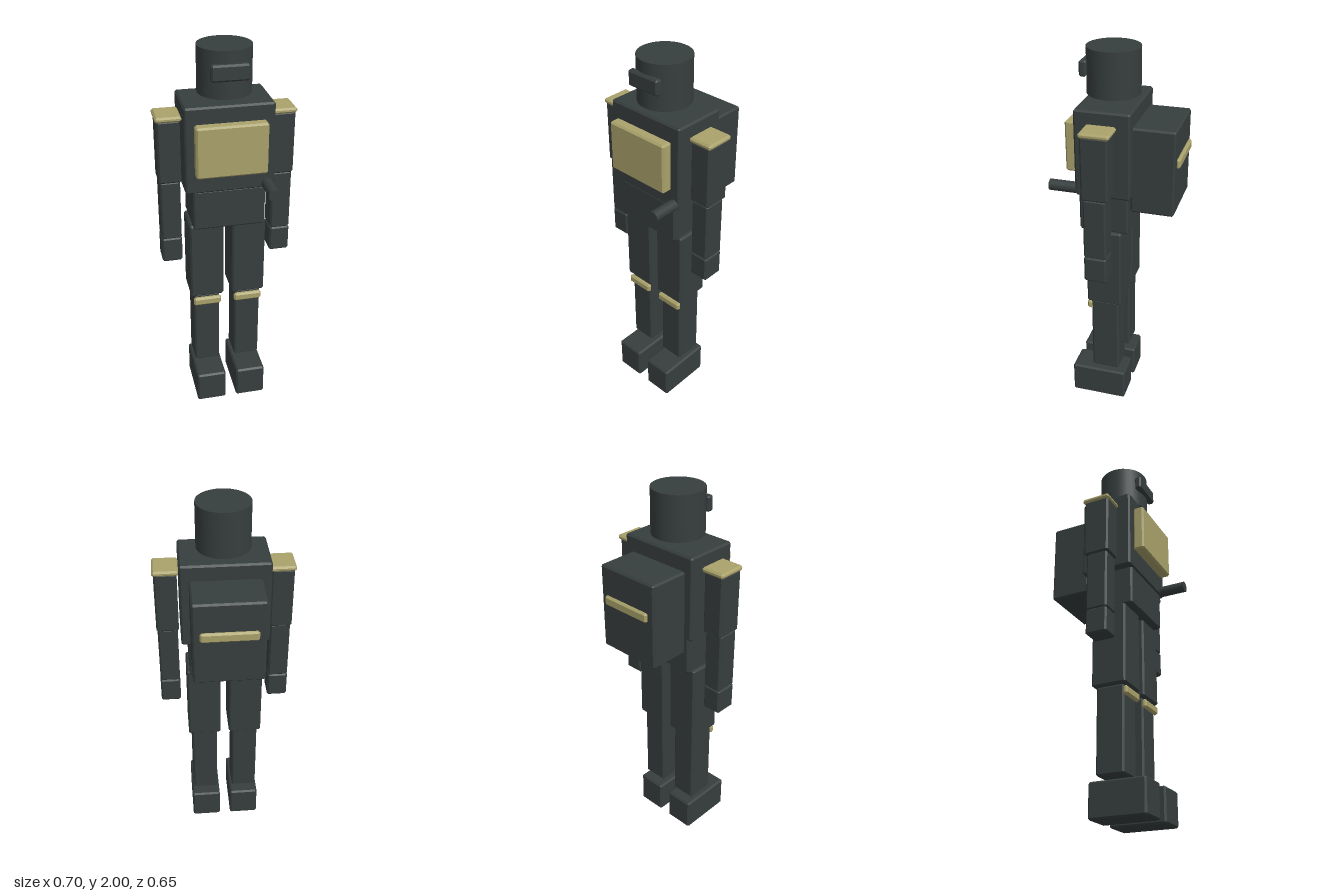
import * as THREE from 'three';
import { ConvexGeometry } from 'three/addons/geometries/ConvexGeometry.js';

const dark = new THREE.MeshStandardMaterial({ name: 'charcoal armour', color: 0x373e3e });
const tan = new THREE.MeshStandardMaterial({ name: 'tan trim', color: 0xaaa26b });

// Box with 45 degree chamfered edges: every corner becomes three points
function chamferBox(w, h, d, c) {
  const points = [];
  for (const x of [-1, 1]) for (const y of [-1, 1]) for (const z of [-1, 1]) {
    for (let axis = 0; axis < 3; axis++) {
      const inset = [c, c, c];
      inset[axis] = 0;
      points.push(new THREE.Vector3(
        x * (w / 2 - inset[0]), y * (h / 2 - inset[1]), z * (d / 2 - inset[2])));
    }
  }
  return new ConvexGeometry(points);
}

export function createModel() {
  const model = new THREE.Group();
  model.name = 'armouredFigure';

  function add(name, geometry, material, x, y, z) {
    const mesh = new THREE.Mesh(geometry, material);
    mesh.name = name;
    mesh.position.set(x, y, z);
    model.add(mesh);
    return mesh;
  }

  // Chamfered block given by its extents on each axis
  function block(name, material, [x0, x1], [y0, y1], [z0, z1], c = 0.009) {
    return add(name, chamferBox(x1 - x0, y1 - y0, z1 - z0, c), material,
      (x0 + x1) / 2, (y0 + y1) / 2, (z0 + z1) / 2);
  }

  // The same block on the left (+x) and right (-x)
  function pair(name, material, [x0, x1], y, z, c) {
    block('left' + name, material, [x0, x1], y, z, c);
    block('right' + name, material, [-x1, -x0], y, z, c);
  }

  // Head
  add('head', new THREE.CylinderGeometry(0.134, 0.134, 0.23, 32), dark, 0, 1.885, 0.042);
  add('neck', new THREE.CylinderGeometry(0.057, 0.057, 0.06, 24), dark, 0, 1.75, 0.042);
  block('visor', dark, [-0.093, 0.093], [1.86, 1.94], [0.155, 0.192]);

  // Body
  block('torso', dark, [-0.222, 0.222], [1.297, 1.743], [-0.1, 0.182]);
  block('abdomen', dark, [-0.185, 0.185], [1.087, 1.305], [-0.08, 0.175]);
  block('chestPlate', tan, [-0.177, 0.177], [1.402, 1.664], [0.183, 0.242]);
  block('backpack', dark, [-0.177, 0.177], [1.216, 1.662], [-0.31, -0.09]);
  block('backpackStrip', tan, [-0.141, 0.141], [1.462, 1.513], [-0.328, -0.305]);

  // Short barrel at the lower left of the chest
  add('barrel', new THREE.CylinderGeometry(0.029, 0.029, 0.2, 20).rotateX(Math.PI / 2),
    dark, 0.188, 1.322, 0.225);

  // Arms
  pair('ShoulderPlate', tan, [0.222, 0.351], [1.654, 1.681], [-0.034, 0.118]);
  pair('UpperArm', dark, [0.23, 0.344], [1.332, 1.66], [-0.024, 0.113]);
  pair('Forearm', dark, [0.236, 0.339], [1.01, 1.336], [-0.011, 0.106]);
  pair('Hand', dark, [0.235, 0.34], [0.875, 1.014], [-0.011, 0.106]);

  // Legs
  pair('Thigh', dark, [0.023, 0.2], [0.652, 1.09], [-0.047, 0.14]);
  pair('Shin', dark, [0.043, 0.182], [0.204, 0.652], [-0.028, 0.123]);
  pair('KneePad', tan, [0.036, 0.186], [0.594, 0.64], [0.118, 0.146]);
  pair('Foot', dark, [0.031, 0.191], [0, 0.18], [-0.063, 0.24]);

  return model;
}
